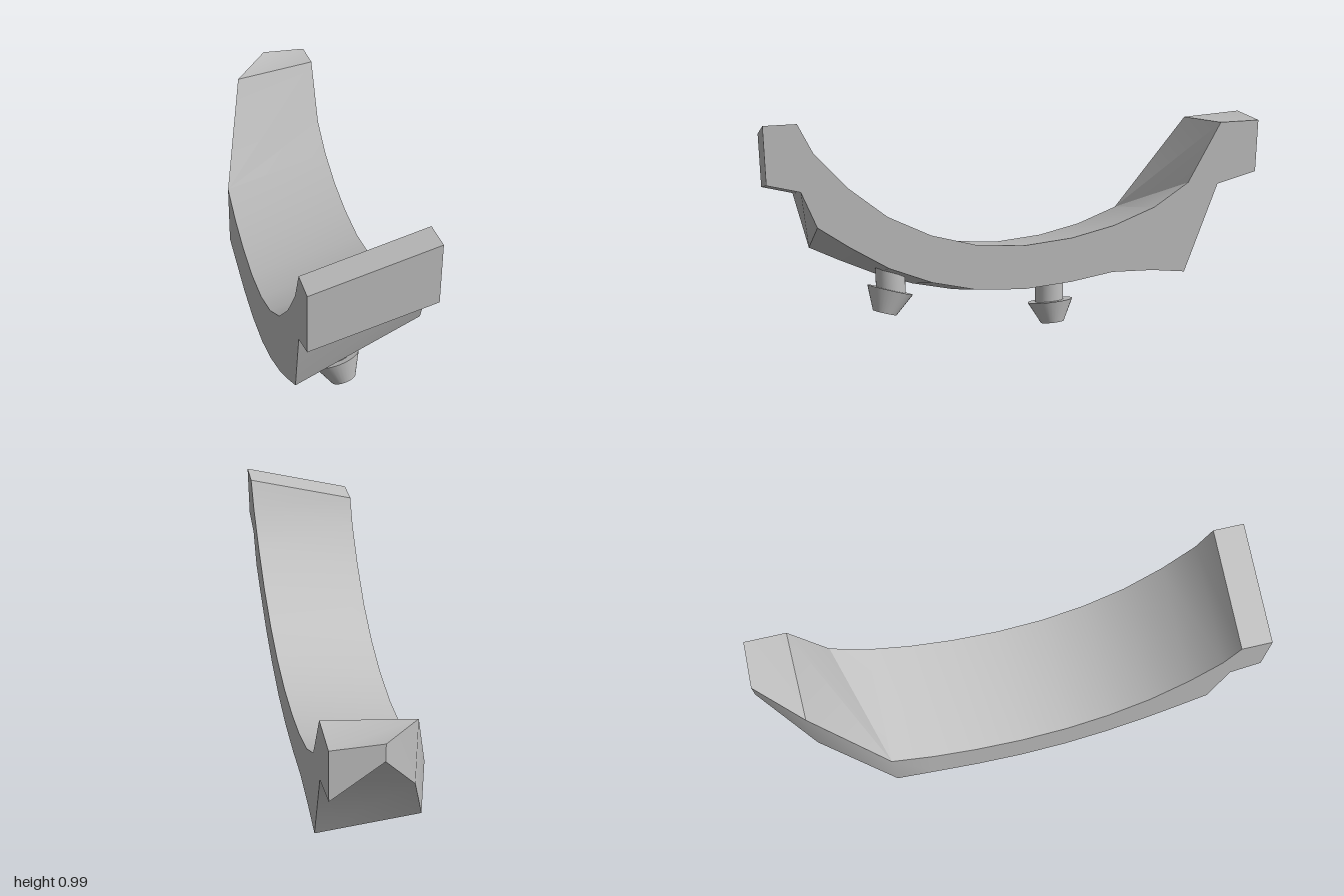
import * as THREE from 'three';
import { toCreasedNormals } from 'three/addons/utils/BufferGeometryUtils.js';

const HALF = 0.23; // half width of the band
const DROP = 0.132; // how far the inner surface falls from left (+x) to right (-x)

// Full-width stations: z, top at +x, bottom at +x, bottom at -x
const BAND = [
  [1, 0.997, 0.77, 0.64],
  [0.875, 0.997, 0.735, 0.605],
  [0.82, 0.88, 0.59, 0.36],
  [0.7, 0.74, 0.5, 0.295],
  [0.55, 0.612, 0.4, 0.22],
  [0.38, 0.522, 0.325, 0.155],
  [0.2, 0.467, 0.277, 0.11],
  [0, 0.447, 0.26, 0.093],
  [-0.2, 0.462, 0.272, 0.105],
  [-0.38, 0.5, 0.298, 0.135],
  [-0.555, 0.565, 0.29, 0.165],
];

// Each section runs: top -x, top +x, bottom +x, bottom -x
function sections() {
  const list = BAND.map(([z, top, low, lowFar]) => [
    [-HALF, top - DROP, z], [HALF, top, z], [HALF, low, z], [-HALF, lowFar, z],
  ]);
  // Clipped back end, where the -x side is cut away at an angle
  const corner = list[list.length - 1];
  list.push([corner[0], [HALF, 0.66, -0.7], [HALF, 0.27, -0.7], corner[3]]);
  list.push([[-0.12, 0.855, -0.825], [HALF, 0.905, -0.832], [HALF, 0.645, -0.832], [-0.12, 0.562, -0.825]]);
  list.push([[0.037, 0.905, -1], [HALF, 0.905, -1], [HALF, 0.687, -1], [0.037, 0.83, -1]]);
  return list;
}

function loft(list) {
  const pos = [];
  const tri = (a, b, c) => {
    if (a !== b && b !== c && a !== c) pos.push(...a, ...b, ...c);
  };
  const quad = (a, b, c, d) => { tri(a, b, c); tri(a, c, d); };
  for (let i = 0; i < list.length - 1; i++) {
    const a = list[i], b = list[i + 1];
    for (let k = 0; k < 4; k++) {
      const n = (k + 1) % 4;
      quad(a[k], a[n], b[n], b[k]);
    }
  }
  const first = list[0], last = list[list.length - 1];
  quad(first[0], first[3], first[2], first[1]);
  quad(last[0], last[1], last[2], last[3]);
  const geo = new THREE.BufferGeometry();
  geo.setAttribute('position', new THREE.Float32BufferAttribute(pos, 3));
  return toCreasedNormals(geo, 0.55);
}

export function createModel() {
  const model = new THREE.Group();
  model.name = 'curvedBracket';
  const grey = new THREE.MeshStandardMaterial({ color: 0xc0c0c0 });
  grey.name = 'grey';

  const band = new THREE.Mesh(loft(sections()), grey);
  band.name = 'curvedBand';
  model.add(band);

  // Snap peg: an upright shaft with a tapered head square to the band
  function addPeg(name, rim, tip, shaftZ, shaftTop) {
    const peg = new THREE.Group();
    peg.name = name;
    const top = new THREE.Vector3(...rim), end = new THREE.Vector3(...tip);
    const axis = top.clone().sub(end);

    const head = new THREE.Mesh(new THREE.CylinderGeometry(0.097, 0.05, axis.length(), 32), grey);
    head.name = 'pegHead';
    head.position.copy(top).add(end).multiplyScalar(0.5);
    head.quaternion.setFromUnitVectors(new THREE.Vector3(0, 1, 0), axis.normalize());

    const low = rim[1] - 0.02;
    const shaft = new THREE.Mesh(new THREE.CylinderGeometry(0.061, 0.061, shaftTop - low, 32), grey);
    shaft.name = 'pegShaft';
    shaft.position.set(0, (shaftTop + low) / 2, shaftZ);

    peg.add(head, shaft);
    model.add(peg);
  }
  addPeg('frontPeg', [0.002, 0.225, 0.515], [0.028, 0.135, 0.545], 0.512, 0.36);
  addPeg('backPeg', [0.002, 0.107, -0.18], [0.028, 0.017, -0.184], -0.176, 0.26);

  return model;
}
